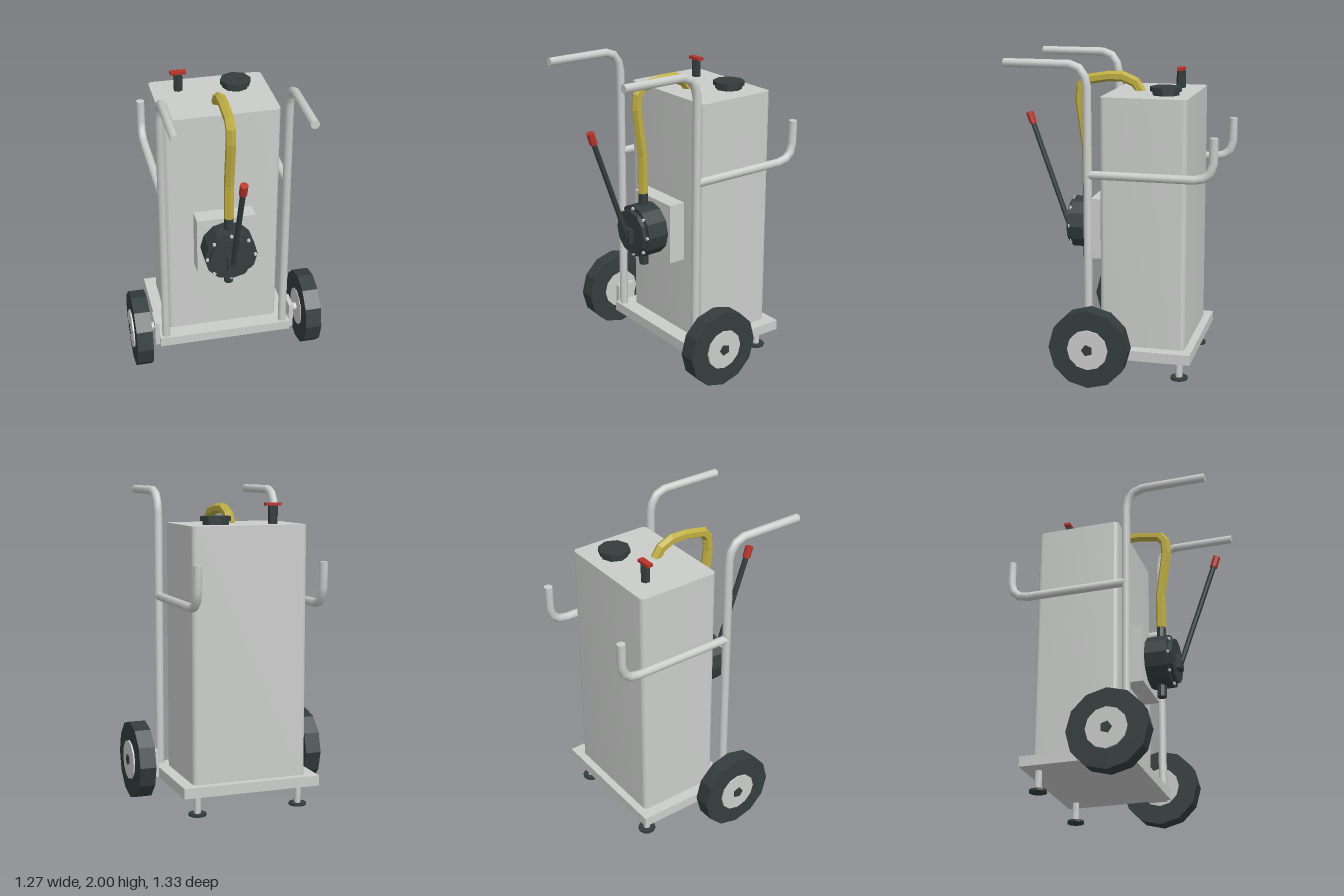
import * as THREE from 'three';
import { toCreasedNormals } from 'three/addons/utils/BufferGeometryUtils.js';

const FLAT = 0.1, SMOOTH = 0.85;

function material(name, color) {
  const m = new THREE.MeshStandardMaterial({ color });
  m.name = name;
  return m;
}

// Sweeps a polygon along a mitred path lying in the y-z plane; path points are [z, y].
function sweep(path, radius, sides) {
  const pts = path.map(([z, y]) => new THREE.Vector3(0, y, z));
  const pos = [], idx = [];
  const side = new THREE.Vector3(1, 0, 0);
  const last = pts.length - 1;
  pts.forEach((p, i) => {
    const a = p.clone().sub(pts[Math.max(i - 1, 0)]).normalize();
    const b = pts[Math.min(i + 1, last)].clone().sub(p).normalize();
    const t = a.add(b).normalize();
    const n = t.clone().cross(side);
    const next = pts[Math.min(i + 1, last)].clone().sub(p).normalize();
    const stretch = i > 0 && i < last ? 1 / t.dot(next) : 1;
    for (let j = 0; j < sides; j++) {
      const ang = Math.PI / 2 + (j / sides) * Math.PI * 2;
      const v = p.clone().addScaledVector(side, radius * Math.cos(ang))
        .addScaledVector(n, radius * stretch * Math.sin(ang));
      pos.push(v.x, v.y, v.z);
    }
  });
  for (let i = 0; i < last; i++) {
    for (let j = 0; j < sides; j++) {
      const k = (j + 1) % sides;
      const a = i * sides + j, b = i * sides + k, c = a + sides, d = b + sides;
      idx.push(a, b, d, a, d, c);
    }
  }
  // end caps
  const end = last * sides;
  for (let j = 1; j < sides - 1; j++) idx.push(0, j + 1, j, end, end + j, end + j + 1);
  const g = new THREE.BufferGeometry();
  g.setAttribute('position', new THREE.Float32BufferAttribute(pos, 3));
  g.setIndex(idx);
  return g;
}

// Cylinder between two coordinates on the given axis.
function cylinder(axis, radius, from, to, sides) {
  const g = new THREE.CylinderGeometry(radius, radius, to - from, sides);
  g.translate(0, (from + to) / 2, 0);
  if (axis === 'x') g.rotateZ(-Math.PI / 2);
  if (axis === 'z') g.rotateX(Math.PI / 2);
  return g;
}

// Box from its minimum and maximum corners.
function box(x0, x1, y0, y1, z0, z1) {
  return new THREE.BoxGeometry(x1 - x0, y1 - y0, z1 - z0)
    .translate((x0 + x1) / 2, (y0 + y1) / 2, (z0 + z1) / 2);
}

// Upright block with rounded vertical edges.
function roundedTank(w, d, h, r) {
  const s = new THREE.Shape();
  const x = w / 2, y = d / 2;
  s.moveTo(-x + r, -y);
  s.lineTo(x - r, -y);
  s.absarc(x - r, -y + r, r, -Math.PI / 2, 0);
  s.absarc(x - r, y - r, r, 0, Math.PI / 2);
  s.absarc(-x + r, y - r, r, Math.PI / 2, Math.PI);
  s.absarc(-x + r, -y + r, r, Math.PI, Math.PI * 1.5);
  return new THREE.ExtrudeGeometry(s, { depth: h, bevelEnabled: false, curveSegments: 4 })
    .rotateX(-Math.PI / 2);
}

export function createModel() {
  const model = new THREE.Group();
  model.name = 'pumpTrolley';
  const metal = material('light grey metal', 0xcbcdcb);
  const dark = material('dark rubber', 0x343d3d);
  const yellow = material('yellow hose', 0xbfae42);
  const red = material('red grip', 0xb8342b);

  function add(name, geometry, mat, x = 0, y = 0, z = 0, crease = FLAT) {
    const mesh = new THREE.Mesh(toCreasedNormals(geometry, crease), mat);
    mesh.name = name;
    mesh.position.set(x, y, z);
    model.add(mesh);
    return mesh;
  }

  // Tank and base plate
  add('tank', roundedTank(0.74, 0.54, 1.575, 0.03), metal, 0, 0.2, -0.195, SMOOTH);
  add('basePlate', box(-0.445, 0.445, 0.135, 0.2, -0.515, 0.18), metal);

  // Frame tubes, wheels and feet on both sides
  const handlePath = [[0.142, 0.2], [0.142, 1.84], [0.155, 1.9], [0.19, 1.95], [0.25, 1.973], [0.665, 1.973]];
  const armPath = [[0.142, 1.3], [-0.52, 1.3], [-0.58, 1.313], [-0.62, 1.35], [-0.635, 1.41], [-0.635, 1.56]];
  for (const [s, label] of [[1, 'left'], [-1, 'right']]) {
    add(label + 'Handle', sweep(handlePath, 0.027, 10), metal, s * 0.4, 0, 0, SMOOTH);
    add(label + 'RearArm', sweep(armPath, 0.027, 10), metal, s * 0.4, 0, 0, SMOOTH);

    const x = s * 0.46;
    add(label + 'AxleBracket', box(x - 0.015, x + 0.015, 0.135, 0.31, 0.025, 0.155), metal);
    const disc = (name, r, from, to, sides, mat, crease) =>
      add(label + name, cylinder('x', r, Math.min(s * from, s * to), Math.max(s * from, s * to), sides),
        mat, 0, 0.25, 0.09, crease);
    disc('Axle', 0.027, 0.47, 0.515, 10, metal, SMOOTH);
    disc('Tyre', 0.25, 0.515, 0.62, 12, dark);
    disc('Hub', 0.128, 0.511, 0.63, 12, metal);
    disc('HubBolt', 0.037, 0.625, 0.637, 5, dark);

    add(label + 'Leg', cylinder('y', 0.022, 0.01, 0.14, 10), metal, s * 0.335, 0, -0.43, SMOOTH);
    add(label + 'Foot', cylinder('y', 0.056, 0, 0.015, 10), dark, s * 0.335, 0, -0.43);
  }

  // Filler cap and valve on the tank top
  add('fillerNeck', cylinder('y', 0.085, 1.77, 1.8, 8), dark, 0.165, 0, -0.295);
  add('fillerCap', cylinder('y', 0.1, 1.798, 1.826, 8), dark, 0.165, 0, -0.295);
  add('valveStem', cylinder('y', 0.03, 1.77, 1.887, 6), dark, -0.2, 0, -0.32);
  add('valveHandle', box(-0.05, 0.05, 1.887, 1.905, -0.02, 0.02), red, -0.2, 0, -0.32);

  // Pump
  const py = 0.905;
  add('pumpMount', box(-0.19, 0.19, 0.71, 1.1, 0.07, 0.185), metal);
  add('pumpBody', cylinder('z', 0.17, 0.185, 0.33, 12), dark, 0, py);
  add('pumpCover', cylinder('z', 0.144, 0.33, 0.358, 12), dark, 0, py);
  for (let i = 0; i < 8; i++) {
    const a = (i / 8) * Math.PI * 2;
    add('pumpBolt', cylinder('z', 0.011, 0.325, 0.342, 6), metal,
      0.155 * Math.cos(a), py + 0.155 * Math.sin(a));
  }
  add('pumpOutlet', cylinder('y', 0.03, 0.665, 0.76, 8), dark, 0, 0, 0.255);
  add('pumpInlet', cylinder('y', 0.03, 1.05, 1.15, 8), dark, 0, 0, 0.255);

  // Pump lever
  add('leverPivot', box(-0.035, 0.035, 0.84, 0.935, 0.355, 0.39), dark);
  add('lever', sweep([[0.385, 0.89], [0.618, 1.55]], 0.018, 8), dark);
  add('leverGrip', sweep([[0.615, 1.54], [0.639, 1.612]], 0.026, 8), red);

  // Hose
  add('hose', sweep([[0.255, 1.15], [0.255, 1.39], [0.297, 1.7], [0.29, 1.79], [0.255, 1.835],
    [0.11, 1.86], [0.015, 1.86], [-0.065, 1.825], [-0.105, 1.765]], 0.033, 6), yellow);

  return model;
}
